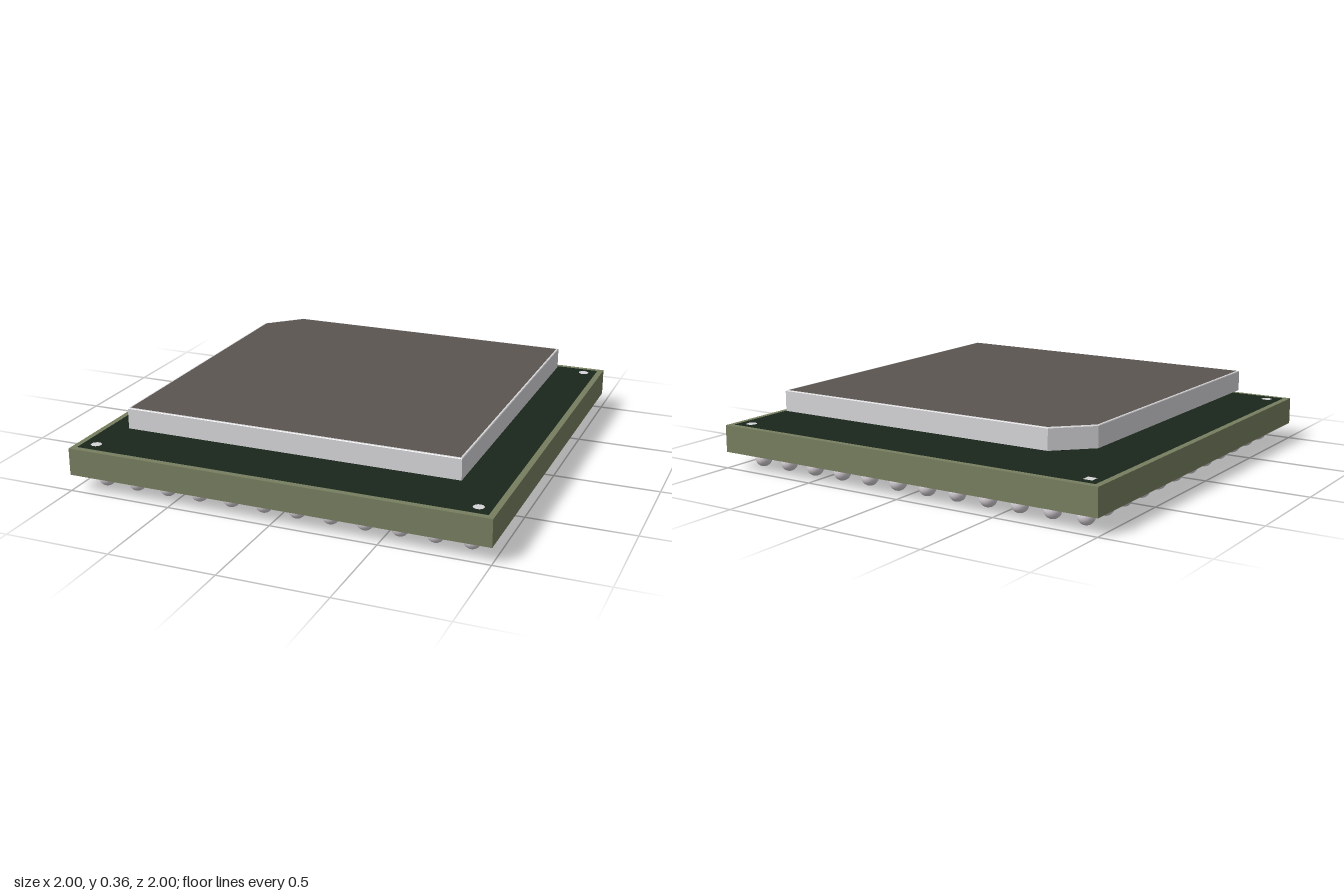
import * as THREE from 'three';

const material = (name, color) => {
  const m = new THREE.MeshStandardMaterial({ color });
  m.name = name;
  return m;
};

export function createModel() {
  const olive = material('olive laminate', 0x777e5f);
  const mask = material('dark green mask', 0x1a271b);
  const underMask = material('deep green underside', 0x002a06);
  const metal = material('light metal', 0xd5d4d7);
  const solder = material('solder', 0xd6d0d6);
  const lidGrey = material('warm grey', 0x5a554f);

  const group = new THREE.Group();
  group.name = 'chipPackage';

  const add = (name, geometry, mat, x = 0, y = 0, z = 0, parent = group) => {
    const mesh = new THREE.Mesh(geometry, mat);
    mesh.name = name;
    mesh.position.set(x, y, z);
    parent.add(mesh);
    return mesh;
  };
  const box = (w, h, d) => new THREE.BoxGeometry(w, h, d);
  // Painted face lying flat, facing up
  const flat = (geometry) => geometry.rotateX(-Math.PI / 2);

  // Substrate board with a painted mask on each side
  add('substrate', box(2, 0.129, 2), olive, 0, 0.1425, 0);
  add('topMask', flat(new THREE.PlaneGeometry(1.945, 1.945)), mask, 0, 0.208, 0);
  add('bottomMask', new THREE.PlaneGeometry(2, 2).rotateX(Math.PI / 2), underMask, 0, 0.077, 0);

  // Die under the lid, slightly off centre
  add('die', box(1.093, 0.06, 1.097), mask, -0.0415, 0.235, -0.0415);

  // Lid with one cut corner and a narrow bevel round the top edge
  const outline = new THREE.Shape([
    [-0.8, -0.8], [0.8, -0.8], [0.8, 0.8], [-0.645, 0.8], [-0.8, 0.645],
  ].map(([x, y]) => new THREE.Vector2(x, y)));
  const height = 0.099;
  const lid = new THREE.ExtrudeGeometry(outline, { depth: height, steps: 2, bevelEnabled: false });
  const p = lid.attributes.position;
  for (let i = 0; i < p.count; i++) {
    const level = p.getZ(i);
    if (level > height * 0.75) p.setXY(i, p.getX(i) * 0.997, p.getY(i) * 0.997);
    else if (level > height * 0.25) p.setZ(i, height - 0.003);
  }
  lid.computeVertexNormals();
  add('lid', flat(lid), metal, 0, 0.262, 0);

  // Painted top face, leaving a thin metal border
  const panel = flat(new THREE.ShapeGeometry(outline)).scale(0.988, 1, 0.988);
  add('lidTopPanel', panel, lidGrey, 0, 0.362, 0);

  // Corner marks: one square, three round
  add('squareMark', flat(new THREE.PlaneGeometry(0.044, 0.044)), metal, -0.915, 0.209, -0.915);
  const dot = flat(new THREE.CircleGeometry(0.026, 8, Math.PI / 8));
  for (const [x, z] of [[0.912, -0.918], [-0.908, 0.912], [0.912, 0.912]]) {
    add('roundMark', dot, metal, x, 0.209, z);
  }

  // Grid of solder balls
  const balls = new THREE.Group();
  balls.name = 'solderBalls';
  group.add(balls);
  const ball = new THREE.SphereGeometry(0.04, 20, 14);
  for (let i = 0; i < 12; i++) {
    for (let j = 0; j < 12; j++) {
      add('solderBall', ball, solder, (i - 5.5) * 0.16, 0.04, (j - 5.5) * 0.16, balls);
    }
  }

  return group;
}
